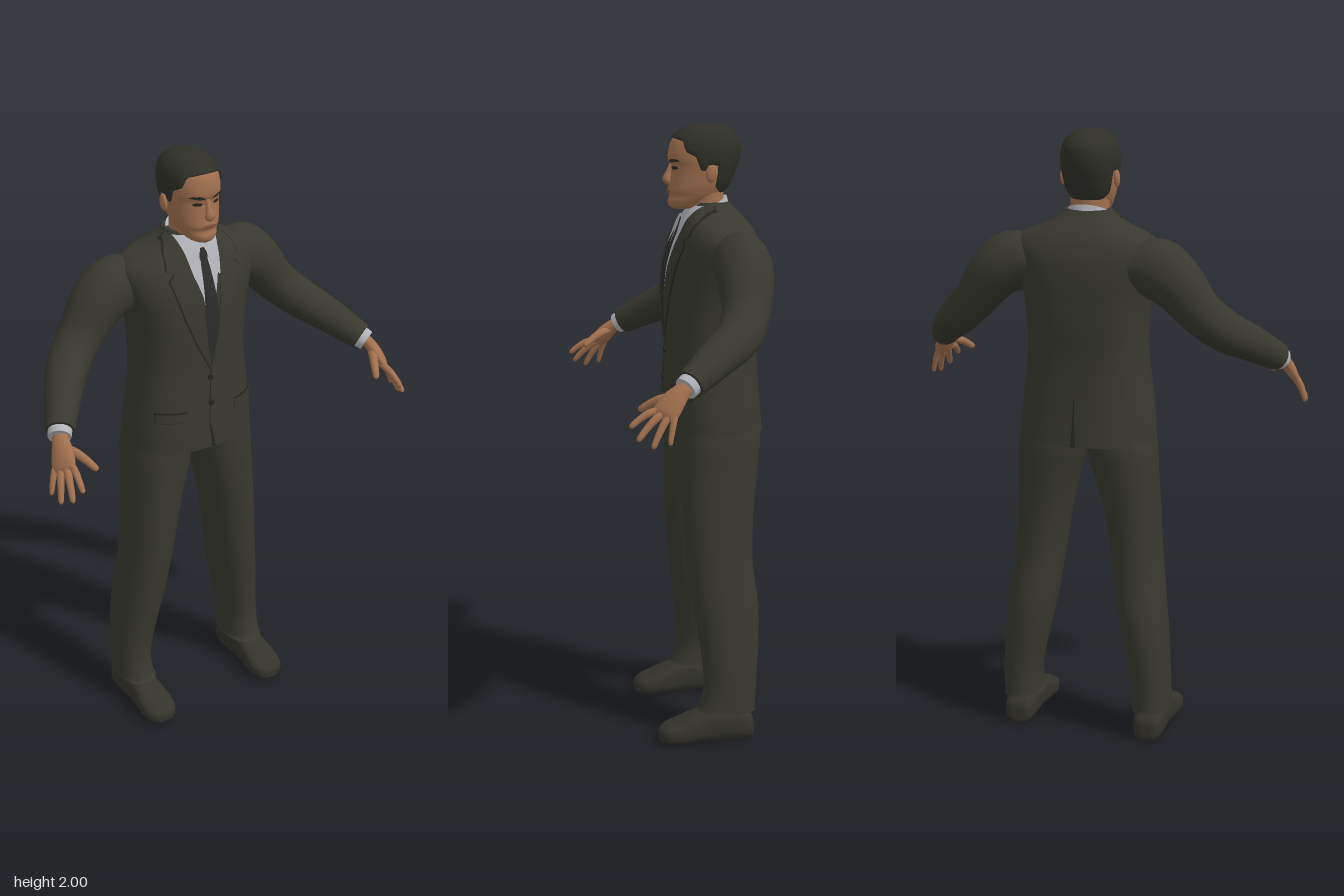
import * as THREE from 'three';

const mat = (name, color) => Object.assign(new THREE.MeshStandardMaterial({ color }), { name });
const M = {
  suit: mat('charcoal cloth', 0x38382f), seam: mat('dark seam', 0x25251f), tie: mat('tie cloth', 0x2a2b2a),
  shirt: mat('shirt grey', 0xb0b2b8), skin: mat('skin', 0xa06f4e), lips: mat('lips', 0x83503c),
  hair: mat('hair', 0x2f2f28), shoe: mat('shoe leather', 0x33322b),
};
M.hair.side = THREE.DoubleSide;

// Catmull-Rom smoothing of a list of equal-length number rows
function dense(rows, k = 5) {
  const out = [], at = i => rows[Math.max(0, Math.min(rows.length - 1, i))];
  for (let i = 0; i < rows.length - 1; i++) for (let s = 0; s < k; s++) {
    const t = s / k;
    out.push(at(i).map((b, c) => {
      const a = at(i - 1)[c], d = at(i + 1)[c], e = at(i + 2)[c];
      return b + 0.5 * t * (d - a + t * (2 * a - 5 * b + 4 * d - e + t * (3 * (b - d) + e - a)));
    }));
  }
  out.push(rows[rows.length - 1]);
  return out;
}

function build(pos, idx) {
  const g = new THREE.BufferGeometry();
  g.setAttribute('position', new THREE.Float32BufferAttribute(pos, 3));
  g.setIndex(idx);
  g.computeVertexNormals();
  return g;
}

// Closed skin over rings of points, with capped ends, always facing outward
function skin(rings) {
  const n = rings[0].length, pos = rings.flat(2), idx = [];
  for (let i = 0; i < rings.length - 1; i++) for (let j = 0; j < n; j++) {
    const a = i * n + j, b = i * n + (j + 1) % n;
    idx.push(a, b, a + n, b, b + n, a + n);
  }
  for (const [ring, flip] of [[rings[0], true], [rings[rings.length - 1], false]]) {
    const base = pos.length / 3;
    pos.push(...ring.flat(), ...[0, 1, 2].map(c => ring.reduce((s, p) => s + p[c] / n, 0)));
    for (let j = 0; j < n; j++) {
      const a = base + j, b = base + (j + 1) % n;
      idx.push(...(flip ? [b, a, base + n] : [a, b, base + n]));
    }
  }
  let vol = 0;
  const v = i => new THREE.Vector3(pos[i * 3], pos[i * 3 + 1], pos[i * 3 + 2]);
  for (let i = 0; i < idx.length; i += 3) vol += v(idx[i]).dot(v(idx[i + 1]).cross(v(idx[i + 2])));
  return build(pos, vol < 0 ? idx.reverse() : idx);
}

// Upright body: rows [y, xMin, xMax, zFront, zBack], superellipse sections
const pow = (v, p) => Math.sign(v) * Math.abs(v) ** (2 / p);
function ringPoint([y, x0, x1, zf, zb], a, p, grow = 1) {
  return [(x0 + x1) / 2 + grow * (x1 - x0) / 2 * pow(Math.cos(a), p), y,
    (zf + zb) / 2 + grow * (zf - zb) / 2 * pow(Math.sin(a), p)];
}
const angles = n => Array.from({ length: n }, (_, j) => j / n * Math.PI * 2);
const column = (rows, p, n = 48) => skin(rows.map(r => angles(n).map(a => ringPoint(r, a, p))));
const sym = rows => dense(rows.map(([y, w, zf, zb]) => [y, -w, w, zf, zb]));
function rowAt(rows, y) {
  let i = 0;
  while (i < rows.length - 2 && rows[i + 1][0] < y) i++;
  const t = Math.min(1, Math.max(0, (y - rows[i][0]) / (rows[i + 1][0] - rows[i][0])));
  return rows[i].map((v, c) => v + (rows[i + 1][c] - v) * t);
}

// Thin plate lying on a body: edge rows [y, xLeft, xRight] from top to bottom
function panel(body, p, edges, off, dir = 1) {
  const pos = [], idx = [], n = 10, k = 5, lines = [];
  edges.forEach((e, i) => {
    const f = edges[i + 1];
    for (let s = 0; s < (f ? k : 1); s++) lines.push(e.map((v, c) => f ? v + (f[c] - v) * s / k : v));
  });
  for (const [y, l, r] of lines) for (let j = 0; j <= n; j++) {
    const x = l + (r - l) * j / n, [, , w, zf, zb] = rowAt(body, y);
    const d = Math.max(0, 1 - Math.abs(x / w) ** p) ** (1 / p);
    pos.push(x, y, (zf + zb) / 2 + dir * ((zf - zb) / 2 * d + off));
  }
  for (let i = 0; i < lines.length - 1; i++) for (let j = 0; j < n; j++) {
    const a = i * (n + 1) + j, c = a + n + 1;
    idx.push(a, c, a + 1, c, c + 1, a + 1);
  }
  return build(pos, dir < 0 ? idx.reverse() : idx);
}

// Tapering limb: rows [x, y, z, thickness, width]; width runs along ref
function limb(rows, ref = [0, 0, 1], n = 20) {
  const R = dense(rows, 4), at = i => new THREE.Vector3(...R[Math.max(0, Math.min(R.length - 1, i))].slice(0, 3));
  return skin(R.map((r, i) => {
    const t = at(i + 1).sub(at(i - 1)).normalize(), b = new THREE.Vector3(...ref);
    b.addScaledVector(t, -b.dot(t)).normalize();
    const a = t.cross(b);
    return angles(n).map(q => at(i).addScaledVector(a, r[3] * Math.cos(q)).addScaledVector(b, r[4] * Math.sin(q)).toArray());
  }));
}

function mirror(g) {
  const m = g.clone().scale(-1, 1, 1);
  m.setIndex([...m.index.array].reverse());
  m.computeVertexNormals();
  return m;
}

export function createModel() {
  const root = new THREE.Group();
  root.name = 'suitedMan';
  const add = (name, g, m) => {
    const mesh = new THREE.Mesh(g, m);
    mesh.name = name;
    root.add(mesh);
  };
  const pair = (name, g, m) => { add(name + 'Left', g, m); add(name + 'Right', mirror(g), m); };

  // Jacket body
  const torso = sym([[1.02, .222, .05, -.27], [1.1, .217, .05, -.262], [1.2, .205, .046, -.255], [1.3, .195, .04, -.253],
    [1.4, .195, .043, -.26], [1.48, .205, .043, -.262], [1.55, .222, .035, -.262], [1.61, .238, .018, -.255],
    [1.65, .236, .002, -.243], [1.68, .2, -.01, -.228], [1.71, .13, -.022, -.205], [1.74, .086, -.04, -.175], [1.754, .076, -.05, -.162]]);
  add('jacketBody', column(torso, 2.4, 64), M.suit);
  const plate = (edges, off, dir) => panel(torso, 2.4, edges, off, dir);

  // Shirt front, tie and lapels
  add('shirtFront', plate([[1.745, -.074, .074], [1.68, -.06, .06], [1.62, -.042, .042], [1.56, -.024, .024], [1.45, -.01, .01]], .004), M.shirt);
  add('tie', plate([[1.705, -.018, .018], [1.665, -.013, .013], [1.655, -.015, .015], [1.5, -.026, .026], [1.4, -.016, .016], [1.32, -.001, .001]], .009), M.tie);
  const lapel = [[1.745, .074, .085], [1.7, .062, .122], [1.655, .053, .132], [1.645, .051, .108], [1.625, .047, .128],
    [1.5, .03, .092], [1.4, .016, .052], [1.31, 0, .004]];
  pair('lapelEdge', plate(lapel.map(([y, a, b]) => [y, a, b + .004]), .006), M.seam);
  pair('lapel', plate(lapel, .0095), M.suit);
  pair('shirtCollarPoint', plate([[1.715, .004, .06], [1.665, .022, .056], [1.62, .042, .047]], .0115), M.shirt);

  // Front closing, buttons, pocket flaps and back vent
  add('frontClosing', plate([[1.31, -.003, .002], [1.12, -.012, -.008], [1.02, 0, .014]], .003), M.seam);
  for (const y of [1.275, 1.185]) {
    const g = new THREE.CylinderGeometry(.009, .009, .008, 16).rotateX(Math.PI / 2);
    add('jacketButton', g.translate(-.002, y, rowAt(torso, y)[3] + .003), M.seam);
  }
  pair('pocketSeam', plate([[1.172, .09, .182], [1.135, .09, .184]], .004), M.seam);
  pair('pocketFlap', plate([[1.168, .09, .182], [1.138, .092, .182]], .008), M.suit);
  add('backVent', plate([[1.18, -.001, .001], [1.1, -.003, .003], [1.02, -.008, .008]], .004, -1), M.seam);

  // Sleeves and shirt cuffs
  pair('sleeve', limb([[.15, 1.59, -.145, .07, .08], [.235, 1.583, -.15, .097, .09], [.3, 1.54, -.15, .087, .09],
    [.37, 1.455, -.135, .071, .076], [.44, 1.39, -.095, .066, .071], [.51, 1.335, -.01, .057, .06], [.575, 1.277, .083, .045, .047]], [0, 0, 1], 32), M.suit);
  pair('shirtCuff', limb([[.567, 1.284, .072, .037, .039], [.586, 1.266, .1, .035, .037]]), M.shirt);

  // Hands
  const across = [-.57, .32, .76];
  pair('palm', limb([[.575, 1.278, .085, .02, .025], [.588, 1.262, .108, .02, .027], [.599, 1.235, .137, .02, .037],
    [.61, 1.203, .163, .015, .041], [.614, 1.19, .173, .007, .036]], across), M.skin);
  const digits = [['thumb', [.582, 1.243, .137], [.531, 1.195, .23], .0135], ['indexFinger', [.593, 1.208, .186], [.605, 1.16, .27], .011],
    ['middleFinger', [.605, 1.201, .171], [.631, 1.125, .252], .0115], ['ringFinger', [.617, 1.194, .156], [.65, 1.105, .21], .011],
    ['littleFinger', [.629, 1.19, .141], [.655, 1.113, .16], .0095]];
  for (const [name, a, b, r] of digits) {
    const at = (t, s) => [...a.map((v, c) => v + (b[c] - v) * t + (c === 1 ? .03 * t * (1 - t) : 0)), r * s, r * s];
    pair(name, limb([at(-.12, 1), at(.3, 1.05), at(.65, .92), at(.93, .75), at(1, .25)], across, 12), M.skin);
  }

  // Trousers
  pair('trouserLeg', column(dense([[.1, .161, .289, -.008, -.214], [.12, .164, .288, -.025, -.212], [.2, .162, .287, -.04, -.215],
    [.33, .135, .28, -.03, -.225], [.45, .11, .268, -.012, -.228], [.6, .088, .25, .005, -.212], [.76, .064, .238, .017, -.218],
    [.9, .03, .231, .02, -.235], [1, .002, .226, .02, -.246], [1.08, -.01, .205, .02, -.24]]), 2.2), M.suit);

  // Shoes: rows [z, half width, bottom, top]
  const shoe = dense([[-.205, .018, .015, .055], [-.195, .042, .003, .085], [-.15, .051, 0, .11], [-.06, .05, 0, .115], [0, .056, 0, .098],
    [.05, .06, 0, .076], [.085, .052, .003, .063], [.105, .034, .008, .05], [.112, .01, .018, .038]]);
  pair('shoe', skin(shoe.map(([z, w, b, t]) => angles(32).map(a =>
    [.226 + w * pow(Math.cos(a), 2.8), (b + t) / 2 + (t - b) / 2 * pow(Math.sin(a), 2.8), z]))), M.shoe);

  // Neck and tilted shirt collar
  add('neck', limb([[0, 1.64, -.1, .068, .06], [0, 1.72, -.092, .062, .058], [0, 1.82, -.085, .062, .062]]), M.skin);
  const collar = column(sym([[1.69, .078, -.015, -.17], [1.72, .074, -.02, -.163], [1.742, .07, -.025, -.158]]), 2);
  const cp = collar.attributes.position;
  for (let i = 0; i < cp.count; i++) cp.setY(i, cp.getY(i) - (cp.getZ(i) + .09) * .45);
  collar.computeVertexNormals();
  add('shirtCollar', collar, M.shirt);

  // Head and face
  const head = sym([[1.733, .025, .018, -.05], [1.742, .042, .029, -.075], [1.757, .053, .033, -.105], [1.775, .063, .028, -.135],
    [1.79, .069, .033, -.15], [1.815, .076, .029, -.165], [1.865, .083, .024, -.186], [1.89, .085, .032, -.194], [1.92, .084, .03, -.197],
    [1.95, .077, .02, -.192], [1.975, .058, -.005, -.168], [1.988, .034, -.035, -.135], [1.992, .001, -.083, -.085]]);
  add('head', column(head, 2.15), M.skin);
  add('nose', limb([[0, 1.878, .02, .008, .008], [0, 1.85, .03, .01, .01], [0, 1.828, .037, .016, .014], [0, 1.818, .034, .015, .011], [0, 1.813, .028, .008, .005]]), M.skin);
  const face = (edges, off) => panel(head, 2.15, edges, off);
  pair('eyebrow', face([[1.892, .03, .05], [1.886, .015, .06], [1.88, .012, .03]], .003), M.hair);
  pair('eye', face([[1.869, .025, .042], [1.864, .018, .05], [1.859, .025, .042]], .003), M.seam);
  add('mouth', face([[1.797, -.012, .012], [1.791, -.027, .027], [1.784, -.013, .013]], .003), M.lips);
  pair('ear', new THREE.SphereGeometry(1, 16, 12).scale(.009, .028, .018).rotateX(-.2).translate(.088, 1.848, -.09), M.skin);

  // Hair: shell over the skull, starting at a hairline that depends on how far forward it is
  const line = [[-1, 1.775], [-.75, 1.785], [-.42, 1.805], [-.3, 1.872], [.02, 1.875], [.08, 1.855], [.25, 1.86], [.35, 1.9], [.62, 1.915], [.75, 1.948], [1, 1.956]];
  const N = 96, V = 22, pos = [], idx = [];
  for (let i = 0; i <= V; i++) for (const a of angles(N)) {
    const y0 = rowAt(line, pow(Math.sin(a), 2.15))[1], t = 1 - (1 - i / V) ** 2;
    const [x, y, z] = ringPoint(rowAt(head, y0 + (1.992 - y0) * t), a, 2.15, i ? 1.06 : 1.01);
    pos.push(x, y + .008 * t, z);
  }
  for (let i = 0; i < V; i++) for (let j = 0; j < N; j++) {
    const a = i * N + j, b = i * N + (j + 1) % N;
    idx.push(a, a + N, b, b, a + N, b + N);
  }
  add('hair', build(pos, idx), M.hair);
  return root;
}
